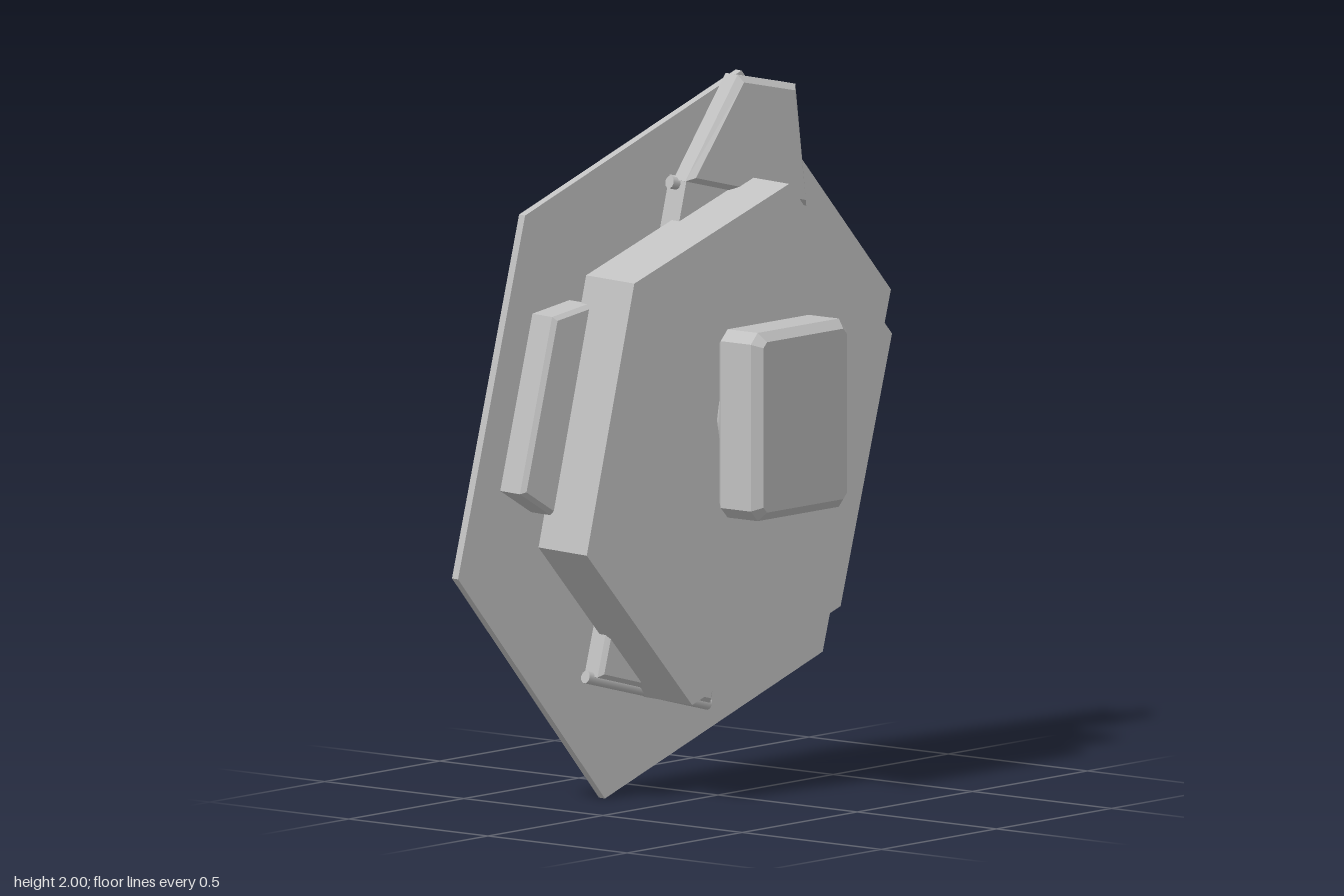
import * as THREE from 'three';

export function createModel() {
  const model = new THREE.Group();
  model.name = 'hexPanelDevice';
  const grey = new THREE.MeshStandardMaterial({ color: 0xc0c0c0 });
  grey.name = 'lightGrey';

  const add = (parent, name, geometry) => {
    const mesh = new THREE.Mesh(geometry, grey);
    mesh.name = name;
    parent.add(mesh);
    return mesh;
  };

  // Slab: an outline raised from depth z0 to z1, with an optional inward bevel
  const slab = (parent, name, points, z0, z1, bevel = 0) => {
    const shape = new THREE.Shape(points.map(([x, y]) => new THREE.Vector2(x, y)));
    const geometry = new THREE.ExtrudeGeometry(shape, {
      depth: z1 - z0 - 2 * bevel,
      bevelEnabled: bevel > 0,
      bevelSize: bevel, bevelThickness: bevel, bevelOffset: -bevel, bevelSegments: 1,
    });
    geometry.translate(0, 0, z0 + bevel);
    return add(parent, name, geometry);
  };

  // Disc: a cylinder along the depth axis
  const disc = (parent, name, x, y, r0, r1, z0, z1, sides) => {
    const geometry = new THREE.CylinderGeometry(r1, r0, z1 - z0, sides);
    geometry.rotateX(Math.PI / 2).translate(x, y, (z0 + z1) / 2);
    return add(parent, name, geometry);
  };

  // Rod: a thin cylinder between two points at one depth
  const rod = (parent, name, a, b, z, r) => {
    const length = Math.hypot(b[0] - a[0], b[1] - a[1]);
    const mesh = add(parent, name, new THREE.CylinderGeometry(r, r, length, 10));
    mesh.position.set((a[0] + b[0]) / 2, (a[1] + b[1]) / 2, z);
    mesh.rotation.z = Math.atan2(b[1] - a[1], b[0] - a[0]) - Math.PI / 2;
    return mesh;
  };

  // Everything but the screen is turned 10 degrees away from the side axis
  const tilted = new THREE.Group();
  tilted.name = 'tiltedBody';
  tilted.rotation.y = THREE.MathUtils.degToRad(80);
  model.add(tilted);
  const cx = -0.027, cy = 1;
  const opposite = ([x, y]) => [2 * cx - x, 2 * cy - y];

  // Large thin back plate
  slab(tilted, 'backPlate', [
    [-0.282, 0], [0.215, 0.992], [-0.572, 1.66], [-0.816, 0.665], [0.51, 0.335], [0.758, 1.325],
  ].sort((a, b) => Math.atan2(a[1] - cy, a[0] - cx) - Math.atan2(b[1] - cy, b[0] - cx))
    .map(([x, y]) => (x === 0.215 ? [x, 1.99] : [x, y])).sort(
      (a, b) => Math.atan2(a[1] - cy, a[0] - cx) - Math.atan2(b[1] - cy, b[0] - cx)),
  -0.178, -0.152);

  // Thick hexagonal body
  slab(tilted, 'body', [
    [0.153, 1.71], [-0.41, 1.485], [-0.583, 0.74], [-0.2, 0.285], [0.34, 0.51], [0.527, 1.255],
  ], -0.082, 0.124);

  // Side blocks, each the other turned half round
  const block = [[-0.555, 1.385], [-0.672, 0.9], [-0.56, 0.83], [-0.4, 0.87], [-0.3, 1.3], [-0.42, 1.41]];
  slab(tilted, 'frontSideBlock', block, -0.153, -0.045, 0.012);
  slab(tilted, 'rearSideBlock', block.map(opposite), -0.153, -0.045, 0.012);

  // Upper flap on its hinge
  slab(tilted, 'upperFlap', [
    [-0.08, 1.72], [0.36, 1.61], [0.32, 1.955], [0.11, 2.0],
  ], -0.115, -0.028, 0.018);
  slab(tilted, 'upperFlapFoot', [
    [-0.07, 1.73], [-0.11, 1.56], [0.3, 1.46], [0.335, 1.63],
  ], -0.125, -0.05);
  rod(tilted, 'upperHingePin', [-0.1, 1.715], [0.37, 1.6], -0.09, 0.018);

  // Lower foot and its hinge
  slab(tilted, 'lowerFoot', [
    [-0.39, 0.36], [0.02, 0.25], [0.065, 0.43], [-0.345, 0.54],
  ], -0.125, -0.045, 0.012);
  rod(tilted, 'lowerHingePin', [-0.41, 0.36], [0.035, 0.243], -0.085, 0.018);

  // Hub through the plate, with a stepped cap and two lugs at the back
  disc(tilted, 'hubCore', cx, cy, 0.17, 0.17, -0.2, 0, 24);
  disc(tilted, 'hubRing', cx, cy, 0.19, 0.205, -0.215, -0.17, 14);
  disc(tilted, 'hubCap', cx, cy, 0.16, 0.165, -0.235, -0.2, 24);
  for (const angle of [145, -30]) {
    const t = THREE.MathUtils.degToRad(angle);
    const at = (offset) => [
      cx + 0.2 * Math.cos(t) - offset * Math.sin(t),
      cy + 0.2 * Math.sin(t) + offset * Math.cos(t),
    ];
    rod(tilted, 'hubLug', at(-0.07), at(0.07), -0.2, 0.035);
  }

  // Chamfered screen facing the side, on a stepped round mount
  const screen = new THREE.Group();
  screen.name = 'screenUnit';
  screen.rotation.y = Math.PI / 2;
  model.add(screen);
  const w = 0.206, top = 1.341, low = 0.814, c = 0.03;
  slab(screen, 'screen', [
    [-w + c, low], [w - c, low], [w, low + c], [w, top - c],
    [w - c, top], [-w + c, top], [-w, top - c], [-w, low + c],
  ], 0.155, 0.313, 0.025);
  disc(screen, 'screenMountNeck', 0, 1.078, 0.12, 0.12, 0.06, 0.14, 16);
  disc(screen, 'screenMountRing', 0, 1.078, 0.15, 0.16, 0.12, 0.165, 16);

  return model;
}
